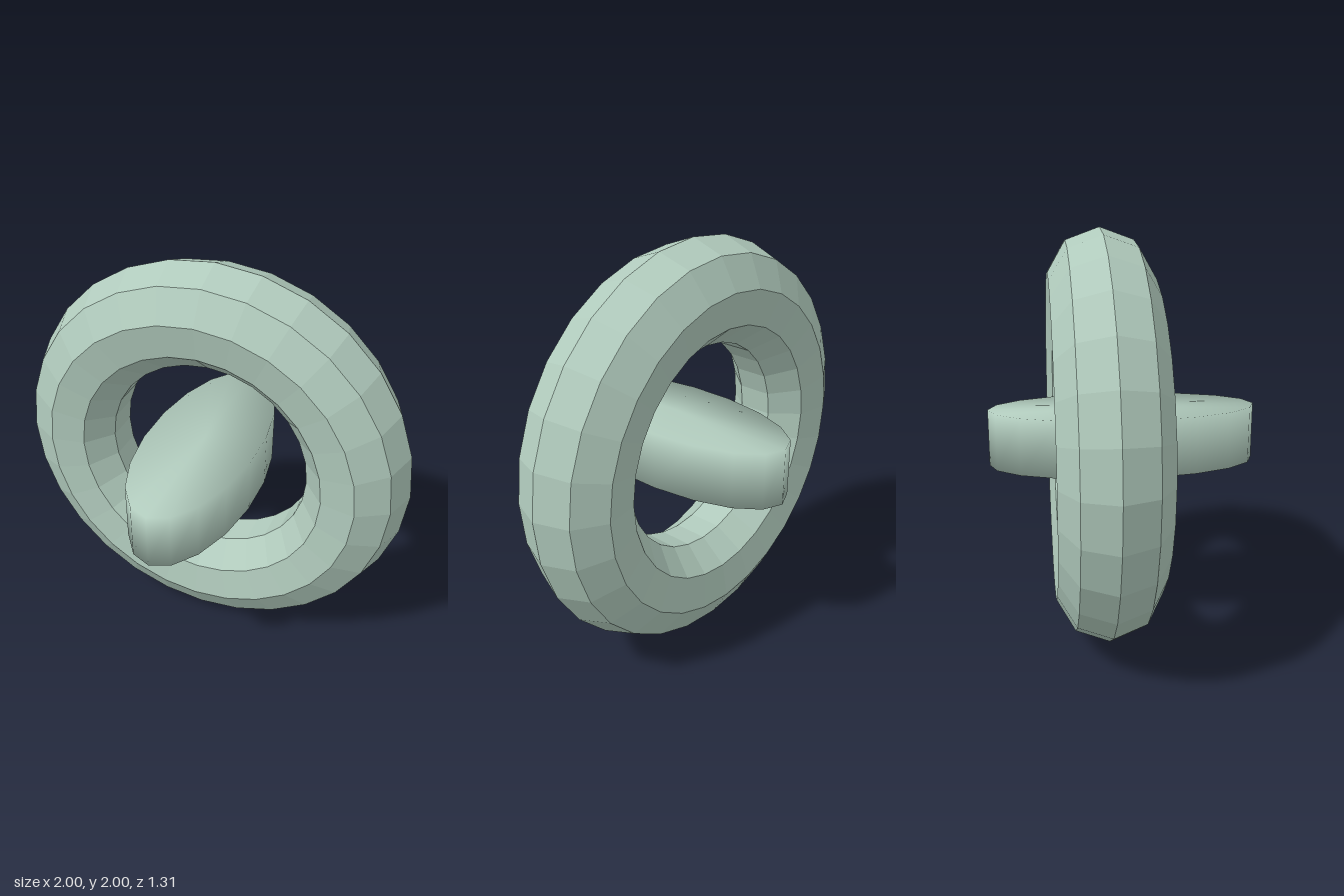
import * as THREE from 'three';
import { mergeVertices } from 'three/addons/utils/BufferGeometryUtils.js';

const CENTRE_Y = 1.002;

export function createModel() {
  const group = new THREE.Group();
  const paleGreen = new THREE.MeshStandardMaterial({ color: 0xb0cabc });
  paleGreen.name = 'paleGreen';

  // Faceted outer ring, nine-sided in section, set slightly back
  const ringGeometry = new THREE.TorusGeometry(0.749, 0.249, 9, 28).toNonIndexed();
  ringGeometry.computeVertexNormals();
  const ring = new THREE.Mesh(ringGeometry, paleGreen);
  ring.name = 'ring';
  ring.position.set(0, CENTRE_Y, -0.107);
  group.add(ring);

  // Long elliptical core floating in the ring, shaded softly over its rims
  let coreGeometry = new THREE.CylinderGeometry(1, 1, 0.28, 18);
  coreGeometry.scale(0.279, 1, 0.655);
  coreGeometry.deleteAttribute('normal');
  coreGeometry.deleteAttribute('uv');
  coreGeometry = mergeVertices(coreGeometry);
  coreGeometry.clearGroups();
  coreGeometry.computeVertexNormals();
  const core = new THREE.Mesh(coreGeometry, paleGreen);
  core.name = 'core';
  core.position.y = CENTRE_Y;
  group.add(core);

  return group;
}
